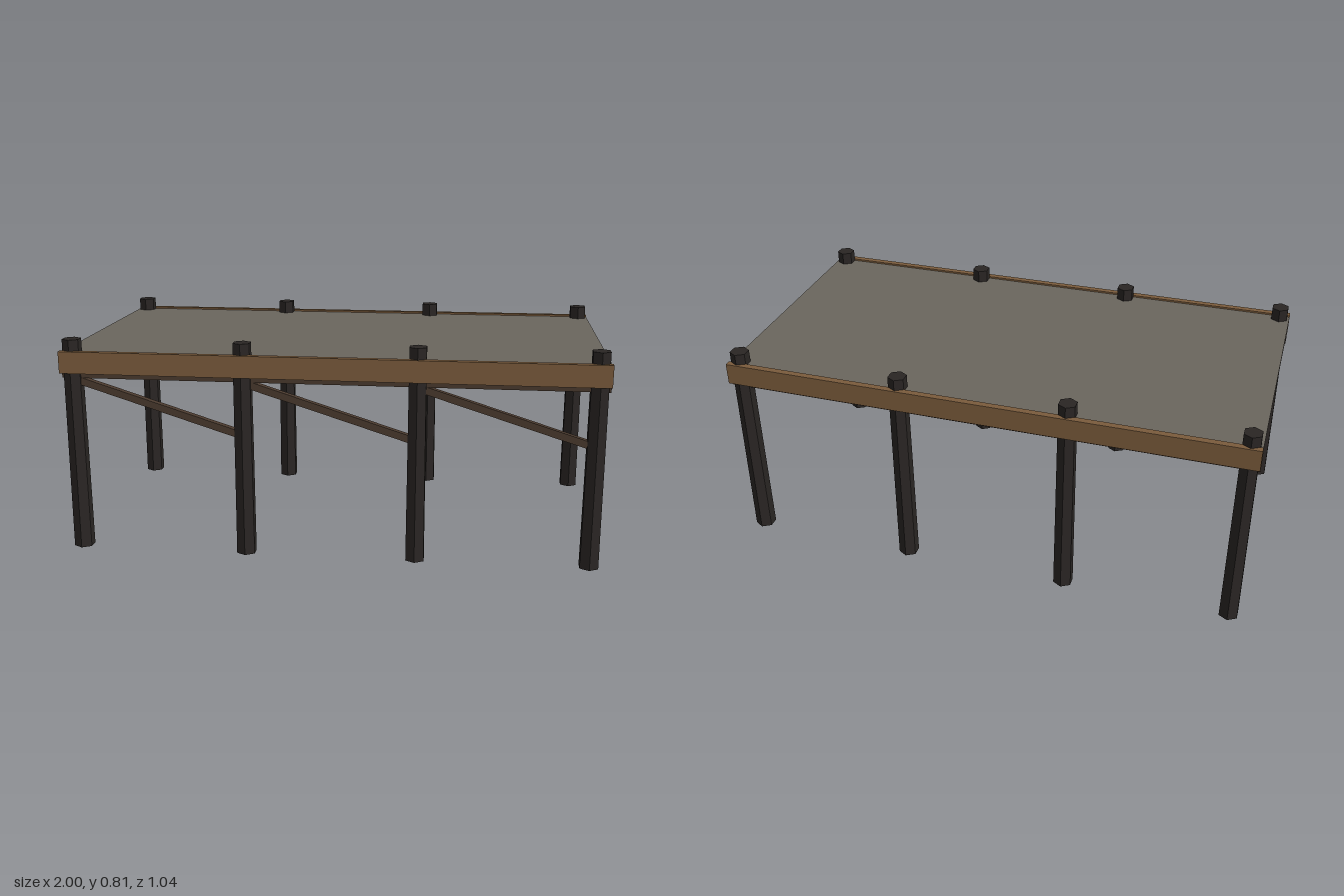
import * as THREE from 'three';

const mat = (color) => new THREE.MeshStandardMaterial({ color, flatShading: true });

export function createModel() {
  const model = new THREE.Group();
  model.name = 'pier';

  const deckMat = mat(0x6b665e);
  const trimMat = mat(0x7b5c3c);
  const beamMat = mat(0x4a3a2e);
  const postMat = mat(0x2a2624);

  const add = (name, geometry, material, x, y, z) => {
    const mesh = new THREE.Mesh(geometry, material);
    mesh.name = name;
    mesh.position.set(x, y, z);
    model.add(mesh);
    return mesh;
  };

  const postX = [-0.96, -0.32, 0.32, 0.96];
  const postZ = 0.48;

  // Deck slab
  add('deck', new THREE.BoxGeometry(2, 0.034, 0.994), deckMat, 0, 0.745, 0);

  // Edge boards, long beams and tapered six-sided posts along both sides
  const edgeGeo = new THREE.BoxGeometry(2, 0.082, 0.025);
  const stringerGeo = new THREE.BoxGeometry(2, 0.063, 0.045);
  const postGeo = new THREE.CylinderGeometry(0.0355, 0.039, 0.811, 6);
  for (const side of [1, -1]) {
    add('edgeBoard', edgeGeo, trimMat, 0, 0.728, side * 0.5095);
    add('longBeam', stringerGeo, beamMat, 0, 0.6965, side * 0.4695);
    for (const x of postX) add('post', postGeo, postMat, x, 0.4055, side * postZ);
  }

  // Cross beams joining each pair of posts
  const crossGeo = new THREE.BoxGeometry(0.045, 0.041, 0.94);
  for (const x of postX) add('crossBeam', crossGeo, beamMat, x, 0.6595, 0);

  // Sloping braces on the front side only
  const drop = 0.202;
  const span = 0.64;
  const braceGeo = new THREE.BoxGeometry(Math.hypot(span, drop), 0.027, 0.027);
  for (const x of postX.slice(0, 3)) {
    const brace = add('brace', braceGeo, beamMat, x + span / 2, 0.562, postZ);
    brace.rotation.z = -Math.atan2(drop, span);
  }

  return model;
}
